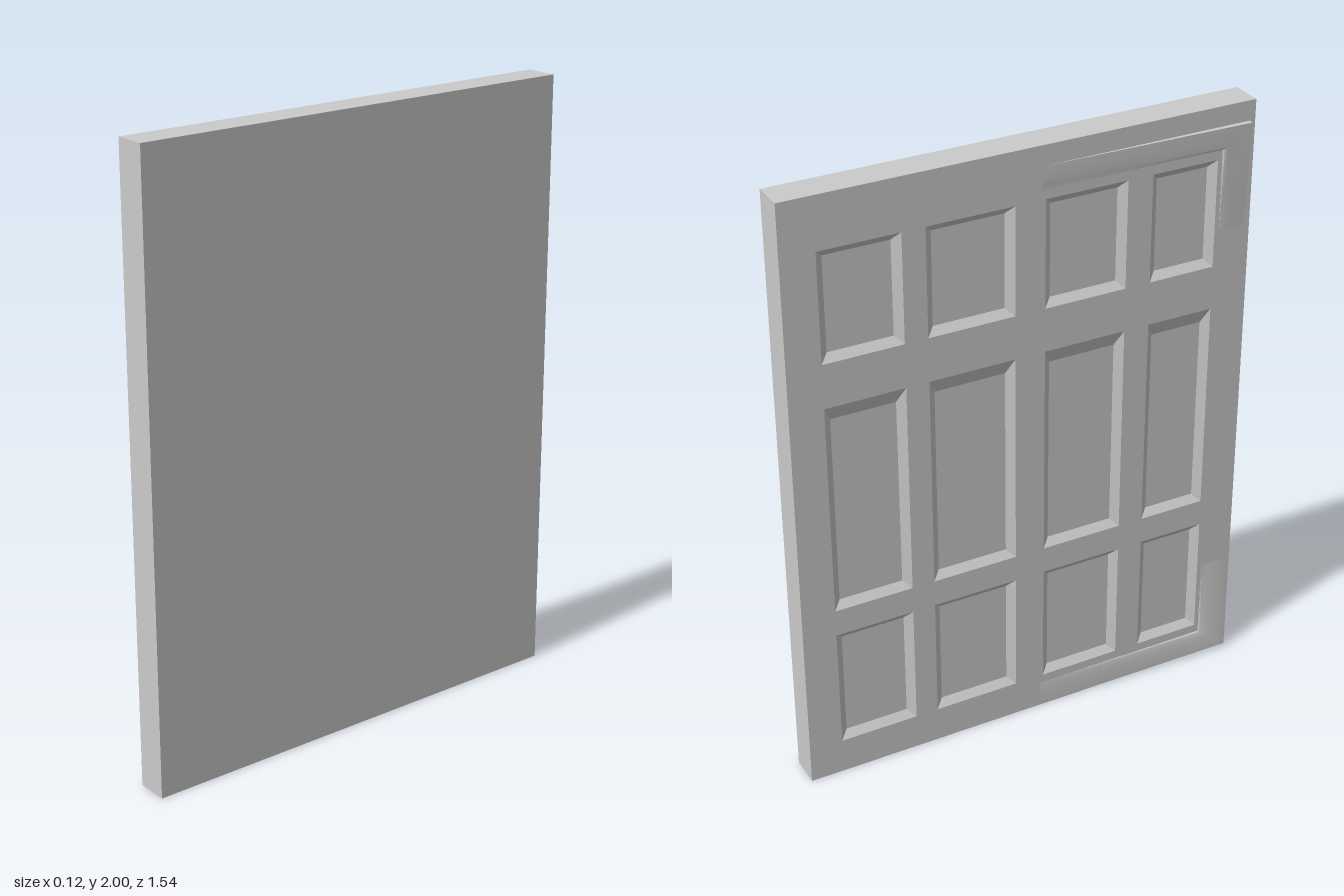
import * as THREE from 'three';
import { toCreasedNormals } from 'three/addons/utils/BufferGeometryUtils.js';

const BACK = -0.06, FLOOR = 0.025, FACE = 0.045; // depths in the door's own frame
const HALF = 0.77, HEIGHT = 2;

const mat = new THREE.MeshStandardMaterial({ color: 0xcccccc });
const matDouble = new THREE.MeshStandardMaterial({ color: 0xcccccc, side: THREE.DoubleSide });

function add(parent, name, geometry, material = mat) {
  const mesh = new THREE.Mesh(geometry, material);
  mesh.name = name;
  parent.add(mesh);
  return mesh;
}

// Surface through rows of points, creased at sharp edges
function loft(rows, crease) {
  const n = rows[0].length, index = [];
  for (let i = 0; i < rows.length - 1; i++) {
    for (let j = 0; j < n - 1; j++) {
      const a = i * n + j, b = a + n;
      index.push(a, a + 1, b + 1, a, b + 1, b);
    }
  }
  const g = new THREE.BufferGeometry();
  g.setAttribute('position', new THREE.Float32BufferAttribute(rows.flat(2), 3));
  g.setIndex(index);
  return toCreasedNormals(g, crease);
}

// Sloped border of one sunken panel
function bevelFrame([x0, x1], { y0, y1, top }) {
  const s = 0.025;
  const ring = (l, r, b, t, z) => [[l, b, z], [r, b, z], [r, t, z], [l, t, z], [l, b, z]];
  const outer = ring(x0, x1, y0, y1, FACE);
  const inner = ring(x0 + s, x1 - s, y0 + s, y1 - top, FLOOR);
  // rows run around the ring, each row goes from inner to outer
  return loft(outer.map((p, i) => [inner[i], p]), 0.2);
}

// Rounded L-shaped trim that rises from both tips toward its corner
function cornerTrim(outer, inner) {
  const rise = [0, 0.017, 0], steps = 10;
  const rows = outer.map(([ox, oy], i) => {
    const row = [[ox, oy, FACE]];
    for (let j = 0; j <= steps; j++) {
      const a = (j / steps) * Math.PI / 2, u = Math.sin(a);
      row.push([
        ox + (inner[i][0] - ox) * u,
        oy + (inner[i][1] - oy) * u,
        FACE + rise[i] * Math.cos(a),
      ]);
    }
    return row;
  });
  return loft(rows, 0.6);
}

export function createModel() {
  const model = new THREE.Group();
  model.name = 'panelDoor';
  const door = new THREE.Group();
  door.name = 'door';
  door.rotation.y = -Math.PI / 2; // panelled side faces -x
  model.add(door);

  // Solid core, whose face is the floor of the sunken panels
  const core = add(door, 'doorCore', new THREE.BoxGeometry(2 * HALF, HEIGHT, FLOOR - BACK));
  core.position.set(0, HEIGHT / 2, (FLOOR + BACK) / 2);

  // Panelled layer with twelve openings
  const columns = [[-0.66, -0.4], [-0.325, -0.04], [0.06, 0.335], [0.42, 0.645]];
  const rows = [
    { y0: 0.12, y1: 0.53, top: 0.025 },
    { y0: 0.62, y1: 1.33, top: 0.05 },
    { y0: 1.475, y1: 1.83, top: 0.025 },
  ];
  const rect = (P, x0, x1, y0, y1) => new P([
    new THREE.Vector2(x0, y0), new THREE.Vector2(x1, y0),
    new THREE.Vector2(x1, y1), new THREE.Vector2(x0, y1),
  ]);
  const face = rect(THREE.Shape, -HALF, HALF, 0, HEIGHT);
  const frames = new THREE.Group();
  frames.name = 'panelBevels';
  door.add(frames);
  for (const c of columns) {
    for (const r of rows) {
      face.holes.push(rect(THREE.Path, c[0], c[1], r.y0, r.y1));
      add(frames, 'panelBevel', bevelFrame(c, r), matDouble);
    }
  }
  const layer = new THREE.ExtrudeGeometry(face, { depth: FACE - FLOOR, bevelEnabled: false });
  add(door, 'panelledFace', layer).position.z = FLOOR;

  // Corner trims at the top and bottom of one edge
  add(door, 'topCornerTrim', cornerTrim(
    [[0.05, 1.935], [0.75, 1.935], [0.75, 1.59]],
    [[0.05, 1.86], [0.66, 1.86], [0.66, 1.59]],
  ), matDouble);
  add(door, 'bottomCornerTrim', cornerTrim(
    [[0.75, 0.36], [0.75, 0.015], [0.05, 0.015]],
    [[0.66, 0.36], [0.66, 0.09], [0.05, 0.09]],
  ), matDouble);

  return model;
}
